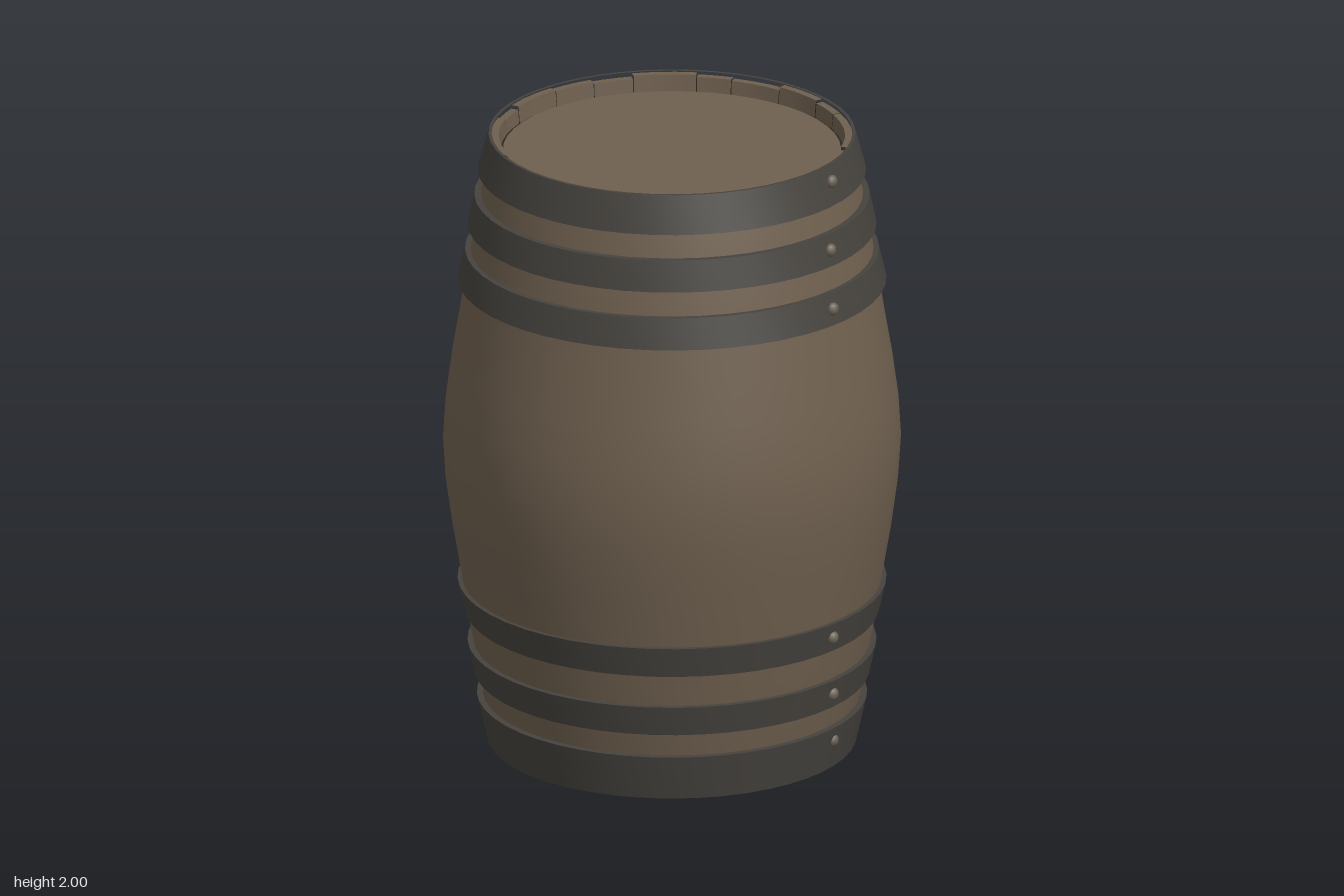
import * as THREE from 'three';
import { toCreasedNormals } from 'three/addons/utils/BufferGeometryUtils.js';

const SIDES = 48;
const wood = new THREE.MeshStandardMaterial({ color: 0x6f604f });
const iron = new THREE.MeshStandardMaterial({ color: 0x46433e });
const rivetMetal = new THREE.MeshStandardMaterial({ color: 0x6a6256 });
const darkGap = new THREE.MeshStandardMaterial({ color: 0x2e2822 });
wood.name = 'wood';
iron.name = 'iron';
rivetMetal.name = 'rivetMetal';
darkGap.name = 'darkGap';

// Spins [radius, height] points, listed with the outside surface going up.
function spin(points, sides = SIDES, start = 0, sweep = Math.PI * 2) {
  const profile = points.map(([r, y]) => new THREE.Vector2(r, y));
  return toCreasedNormals(new THREE.LatheGeometry(profile, sides, start, sweep), 0.6);
}

function add(parent, name, geometry, material) {
  const mesh = new THREE.Mesh(geometry, material);
  mesh.name = name;
  parent.add(mesh);
  return mesh;
}

export function createModel() {
  const barrel = new THREE.Group();
  barrel.name = 'barrel';

  // Bulging wooden shell
  const half = [[0.555, 0.03], [0.59, 0.18], [0.626, 0.38], [0.66, 0.59], [0.684, 0.73], [0.703, 0.87]];
  const upper = half.map(([r, y]) => [r, 2 - y]).reverse();
  add(barrel, 'shell', spin([...half, [0.711, 1], ...upper]), wood);

  // Recessed heads, each with a dark groove around it
  for (const side of [1, -1]) {
    const name = side > 0 ? 'top' : 'bottom';
    const head = add(barrel, name + 'Head', new THREE.CircleGeometry(0.525, SIDES), wood);
    head.rotation.x = -side * Math.PI / 2;
    head.position.y = 1 + side * 0.945;
    const groove = add(barrel, name + 'Groove', new THREE.RingGeometry(0.515, 0.56, SIDES), darkGap);
    groove.rotation.x = -side * Math.PI / 2;
    groove.position.y = 1 + side * 0.94;
  }

  // Stave ends form both rims, with narrow joints and uneven lengths
  const staves = 22;
  const widths = Array.from({ length: staves }, (_, i) => 1 + 0.3 * Math.sin(i * 2.4));
  const total = widths.reduce((a, b) => a + b, 0);
  let angle = 0;
  widths.forEach((w, i) => {
    const sweep = (w / total) * Math.PI * 2;
    const y = 1.99 + 0.006 * Math.sin(i * 4.1);
    const section = [[0.532, y - 0.07], [0.567, y - 0.07], [0.562, y], [0.538, y], [0.532, y - 0.07]];
    const flipped = section.map(([r, h]) => [r, 2 - h]).reverse();
    add(barrel, 'topStave' + i, spin(section, 3, angle, sweep - 0.005), wood);
    add(barrel, 'bottomStave' + i, spin(flipped, 3, angle, sweep - 0.005), wood);
    angle += sweep;
  });
  // Dark joint filler just behind the stave faces
  add(barrel, 'topJoints', spin([[0.535, 1.92], [0.562, 1.92], [0.559, 1.982], [0.54, 1.982], [0.535, 1.92]]), darkGap);
  add(barrel, 'bottomJoints', spin([[0.54, 0.018], [0.559, 0.018], [0.562, 0.08], [0.535, 0.08], [0.54, 0.018]]), darkGap);

  // Iron hoops: lower height, upper height, lower radius, upper radius, rivet angles
  const hoops = [
    [0.008, 0.155, 0.573, 0.606, 0.45, -0.89],
    [0.232, 0.33, 0.614, 0.635, 0.535, -0.91],
    [0.435, 0.535, 0.643, 0.666, 0.595, -0.925],
    [1.522, 1.62, 0.666, 0.643, 0.595, -0.925],
    [1.702, 1.8, 0.635, 0.614, 0.555, -0.895],
    [1.88, 2, 0.603, 0.57, 0.455, -0.865],
  ];
  hoops.forEach(([y0, y1, r0, r1, ...rivets], i) => {
    const hoop = new THREE.Group();
    hoop.name = 'hoop' + i;
    barrel.add(hoop);
    const t0 = 0.021, t1 = i === 5 ? 0.01 : 0.021;
    add(hoop, 'band', spin([[r0 - t0, y0], [r0, y0], [r1, y1], [r1 - t1, y1]]), iron);

    // Domed rivets, two per hoop
    for (const a of rivets) {
      const rivet = add(hoop, 'rivet', new THREE.SphereGeometry(0.021, 12, 8), rivetMetal);
      const r = (r0 + r1) / 2;
      rivet.position.set(Math.cos(a) * r, (y0 + y1) / 2 + (i === 0 ? 0.025 : i === 5 ? 0.012 : 0), Math.sin(a) * r);
      rivet.rotation.y = -a;
      rivet.scale.x = 0.75;
    }
  });

  return barrel;
}
